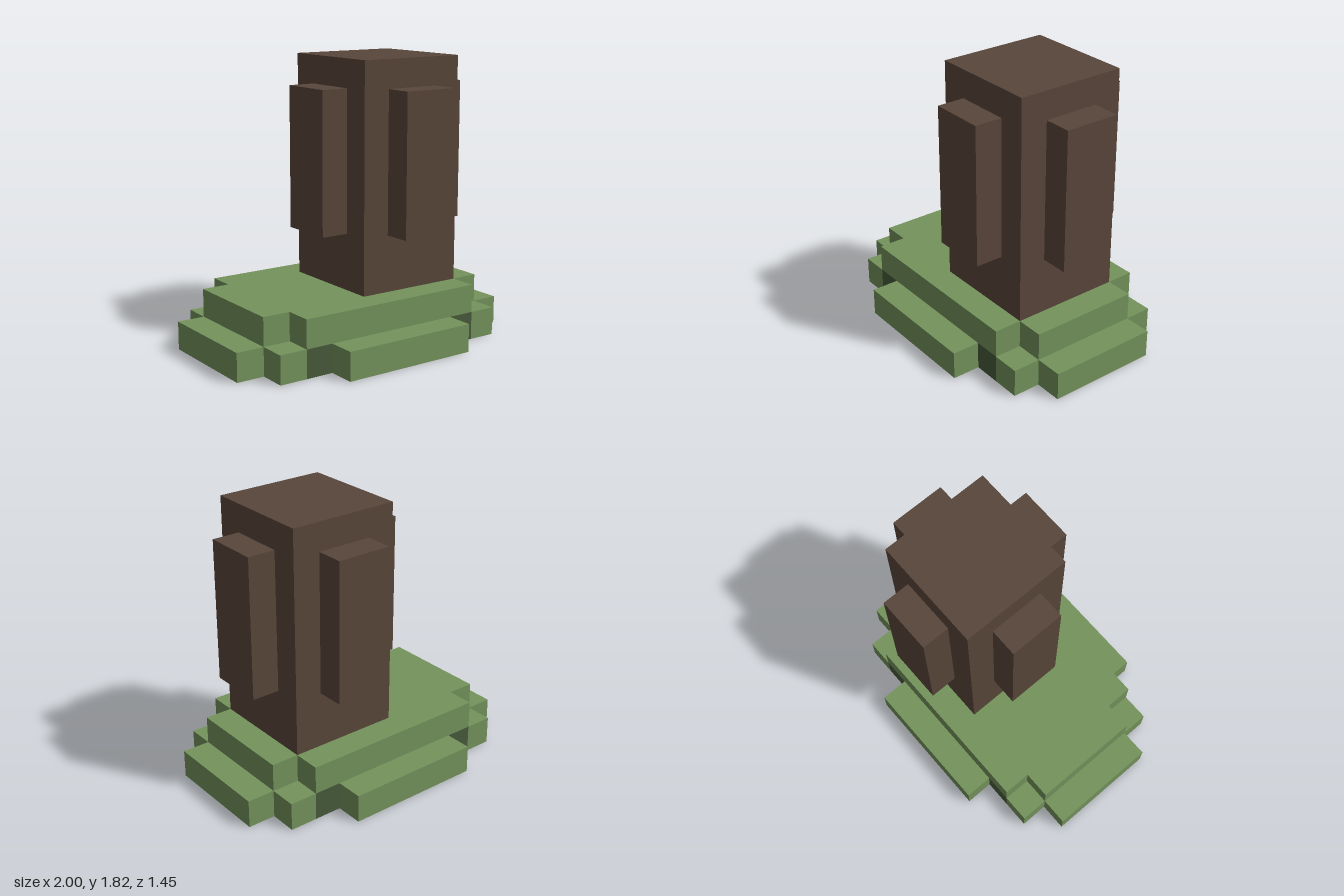
import * as THREE from 'three';

const U = 2 / 11; // one block

const material = (name, color) => {
  const m = new THREE.MeshStandardMaterial({ color });
  m.name = name;
  return m;
};

export function createModel() {
  const model = new THREE.Group();
  model.name = 'stumpOnGrass';
  const green = material('grassGreen', 0x74935c);
  const darkGreen = material('darkGreen', 0x475a3a);
  const brown = material('barkBrown', 0x59463a);

  const add = (name, geometry, mat) => {
    const mesh = new THREE.Mesh(geometry, mat);
    mesh.name = name;
    model.add(mesh);
    return mesh;
  };
  // Box from its centre in x and z, its bottom in y, and its size, in blocks
  const box = (name, mat, x, y, z, w, h, d) =>
    add(name, new THREE.BoxGeometry(w * U, h * U, d * U), mat)
      .position.set(x * U, (y + h / 2) * U, z * U);

  // Slab one block high, with a one-block notch at each corner
  const slab = (name, mat, y) => {
    const a = 4.5, b = 3.5, c = 3, d = 2;
    const outline = [
      [a, -d], [a, d], [b, d], [b, c], [-b, c], [-b, d],
      [-a, d], [-a, -d], [-b, -d], [-b, -c], [b, -c], [b, -d],
    ].map(([x, z]) => new THREE.Vector2(x * U, z * U));
    const geometry = new THREE.ExtrudeGeometry(new THREE.Shape(outline), { depth: U, bevelEnabled: false });
    geometry.rotateX(-Math.PI / 2);
    add(name, geometry, mat).position.y = y * U;
  };

  // Mound: dark core below, grass layer above
  slab('moundCore', darkGreen, 0);
  slab('grassTop', green, 1);

  // Lower grass edges and corner blocks
  for (const s of [-1, 1]) {
    box('grassSideEdge', green, s * 5, 0, 0, 1, 1, 4);
    box('grassLongEdge', green, 0, 0, s * 3.5, 5, 1, 1);
    for (const t of [-1, 1]) box('grassCorner', green, s * 4, 0, t * 2.5, 1, 1, 1);
  }

  // Trunk, set off to one side, with a raised bark panel on each face
  const trunkX = 1.5;
  box('trunk', brown, trunkX, 2, 0, 4, 8, 4);
  for (const s of [-1, 1]) {
    box('barkPanelSide', brown, trunkX + s * 2.5, 4, 0, 1, 5, 2);
    box('barkPanelFace', brown, trunkX, 4, s * 2.5, 2, 5, 1);
  }
  return model;
}
